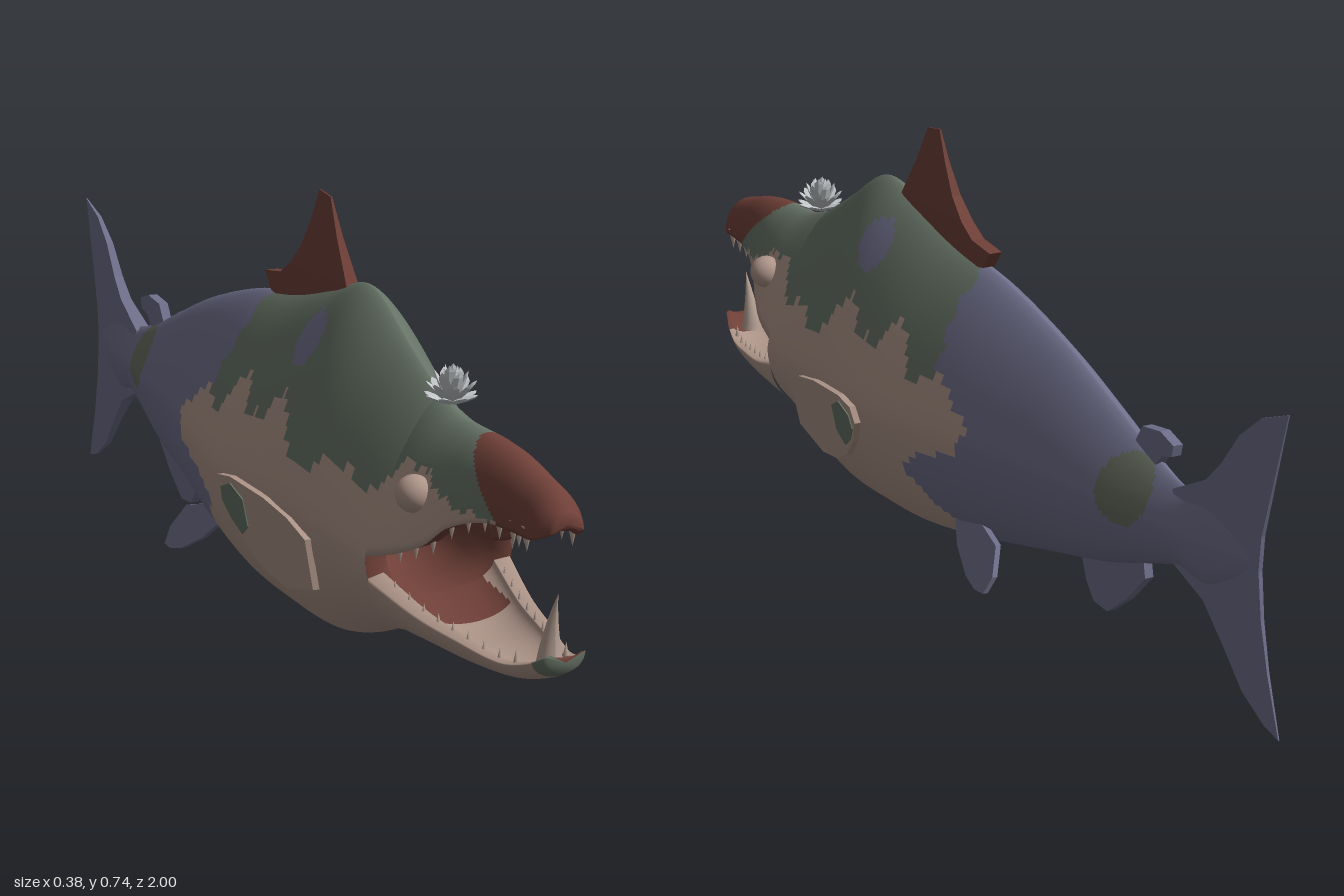
import * as THREE from 'three';

const mat = (name, color, side = THREE.FrontSide) => {
  const m = new THREE.MeshStandardMaterial({ color, side });
  m.name = name;
  return m;
};

// Smooth lookup in a table of rows [z, a, b, ...]; returns [a, b, ...]
function look(table, z) {
  const n = table.length;
  let i = 0;
  while (i < n - 2 && z > table[i + 1][0]) i++;
  const p = table[i], q = table[i + 1], o = table[Math.max(i - 1, 0)], r = table[Math.min(i + 2, n - 1)];
  const h = q[0] - p[0], t = THREE.MathUtils.clamp((z - p[0]) / h, 0, 1), t2 = t * t, t3 = t2 * t;
  return p.slice(1).map((v, k) => {
    const w = q[k + 1], m0 = (w - o[k + 1]) / (q[0] - o[0]), m1 = (r[k + 1] - v) / (r[0] - p[0]);
    return (2 * t3 - 3 * t2 + 1) * v + (t3 - 2 * t2 + t) * h * m0 + (3 * t2 - 2 * t3) * w + (t3 - t2) * h * m1;
  });
}

// Closed-ring skin: f(u, v) gives points, rule(x, y, z, v) picks a material index per cell
function skin(name, nu, nv, f, rule, mats) {
  const pos = [], lists = mats.map(() => []);
  for (let i = 0; i <= nu; i++) for (let j = 0; j < nv; j++) pos.push(...f(i / nu, j / nv));
  for (let i = 0; i < nu; i++) for (let j = 0; j < nv; j++) {
    const a = i * nv + j, b = i * nv + (j + 1) % nv, c = a + nv, d = b + nv;
    const mid = [0, 1, 2].map(k => (pos[a * 3 + k] + pos[d * 3 + k]) / 2);
    lists[rule(...mid, (j + 0.5) / nv)].push(a, c, b, b, c, d);
  }
  const g = new THREE.BufferGeometry();
  g.setAttribute('position', new THREE.Float32BufferAttribute(pos, 3));
  g.setIndex(lists.flat());
  let start = 0;
  lists.forEach((l, k) => { if (l.length) g.addGroup(start, l.length, k); start += l.length; });
  g.computeVertexNormals();
  const mesh = new THREE.Mesh(g, mats);
  mesh.name = name;
  return mesh;
}

// z, top, bottom, height of widest line, half width
const BODY = [
  [-0.92, 0.31, 0.27, 0.29, 0.004], [-0.8, 0.355, 0.205, 0.28, 0.025], [-0.72, 0.345, 0.21, 0.28, 0.035],
  [-0.62, 0.37, 0.18, 0.28, 0.055], [-0.5, 0.415, 0.14, 0.28, 0.08], [-0.34, 0.472, 0.1, 0.28, 0.107],
  [-0.13, 0.525, 0.05, 0.27, 0.145], [0.05, 0.55, 0.015, 0.26, 0.168], [0.2, 0.585, 0.004, 0.26, 0.172],
  [0.3, 0.61, 0.002, 0.26, 0.17], [0.36, 0.598, 0.015, 0.255, 0.165], [0.46, 0.54, 0.05, 0.24, 0.15],
  [0.58, 0.475, 0.075, 0.22, 0.135]];
// z, top, lip, half width, palate rise
const UPPER = [
  [0.58, 0.475, 0.22, 0.135, 0.12], [0.65, 0.455, 0.24, 0.122, 0.1], [0.715, 0.45, 0.268, 0.1, 0.07],
  [0.76, 0.448, 0.305, 0.082, 0.04], [0.84, 0.438, 0.332, 0.06, 0.02], [0.92, 0.418, 0.335, 0.05, 0.015],
  [0.97, 0.402, 0.335, 0.044, 0.01], [1, 0.375, 0.35, 0.025, 0.004]];
// z, lip, bottom, half width, floor depth
const LOWER = [
  [0.58, 0.19, 0.075, 0.13, 0.045], [0.7, 0.155, 0.08, 0.105, 0.04], [0.8, 0.14, 0.082, 0.085, 0.03],
  [0.9, 0.128, 0.092, 0.062, 0.018], [0.96, 0.14, 0.11, 0.047, 0.01], [1, 0.16, 0.13, 0.034, 0.006]];
// Colour borders: height of the green back along z, and start of the blue tail along y
const GREEN = [[-0.2, 0.33], [-0.1, 0.37], [-0.02, 0.34], [0.06, 0.42], [0.11, 0.37], [0.18, 0.37], [0.24, 0.42],
  [0.3, 0.35], [0.36, 0.32], [0.41, 0.34], [0.48, 0.34], [0.54, 0.315], [0.6, 0.375], [0.68, 0.375], [0.75, 0.345], [1, 0.345]];
const BLUE = [[0, -0.17], [0.1, -0.11], [0.16, -0.035], [0.2, -0.04], [0.25, -0.17], [0.3, -0.2], [0.34, -0.14], [0.38, -0.08], [0.6, -0.05]];

const ridge = c => Math.pow(Math.max(0, 1 - Math.pow(c, 1.2)), 0.7);

function bodyPoint(z, v) {
  const [top, bot, mid, w] = look(BODY, z), a = v * Math.PI * 2, c = Math.cos(a), s = Math.sin(a);
  return c > 0 ? [Math.sign(s) * w * ridge(c), mid + (top - mid) * c, z] : [w * s, mid + (mid - bot) * c, z];
}

export function createModel() {
  const fish = new THREE.Group();
  fish.name = 'fish';
  const green = mat('moss green', 0x667265), pink = mat('dusty pink', 0xad9488), blue = mat('slate violet', 0x6f6f8b);
  const red = mat('dark red', 0x6f4038), olive = mat('olive grey', 0x666c5f);
  const tooth = mat('tooth', 0xb39f92), petal = mat('pale grey', 0xc2c6c9, THREE.DoubleSide);
  const mats = [green, pink, blue, red, olive];
  const add = (name, geo, m, parent = fish) => {
    const mesh = new THREE.Mesh(geo, m);
    mesh.name = name;
    parent.add(mesh);
    return mesh;
  };

  const paint = (x, y, z) => {
    const wob = 0.006 * Math.sin(z * 95) + 0.004 * Math.sin(z * 210 + 1);
    if (Math.hypot(z + 0.6, y - 0.31) < 0.06) return 4;
    if (Math.hypot(z - 0.235, y - 0.51) < 0.045) return 2;
    if (z < look(BLUE, y)[0] + 0.01 * Math.sin(y * 120)) return 2;
    if (z > 0.74 + (0.45 - y) * 1.2) return 3;
    return y > look(GREEN, z)[0] + wob ? 0 : 1;
  };

  // Trunk and the hollow of the mouth
  fish.add(skin('body', 190, 96, (u, v) => bodyPoint(-0.92 + 1.5 * u, v), paint, mats));
  const CUP = [[1, 1, 0.58], [0.72, 0.56, 0.58], [0.68, 0.52, 0.5], [0.5, 0.4, 0.42], [0, 0, 0.39]];
  fish.add(skin('mouthCavity', 4, 48, (u, v) => {
    const [sx, sy, z] = CUP[Math.round(u * 4)], [x, y] = bodyPoint(0.58, v);
    return [x * sx, 0.22 + (y - 0.22) * sy, z];
  }, (x, y, z) => 3, mats));

  // Upper head with snout, and lower jaw; each ring runs over the outside then back inside
  fish.add(skin('upperHead', 60, 96, (u, v) => {
    const z = 0.58 + 0.42 * Math.min(1, u * 60 / 59), [top, lip, w, rise] = look(UPPER, z);
    if (u === 1) return [0, (top + lip) / 2, z];
    const outer = v < 0.5, a = outer ? (v * 2 - 0.5) * Math.PI : (1.5 - v * 2) * Math.PI;
    const c = Math.max(0, Math.cos(a)), s = Math.sin(a);
    if (!outer) return [w * 0.72 * s, lip + rise * c, z];
    const k = Math.min(1, (z - 0.58) / 0.25);
    return [w * THREE.MathUtils.lerp(Math.sign(s) * ridge(c), s, k), lip + (top - lip) * c, z];
  }, (x, y, z, v) => v > 0.5 ? 3 : paint(x, y, z), mats));
  fish.add(skin('lowerJaw', 60, 96, (u, v) => {
    const z = 0.58 + 0.42 * Math.min(1, u * 60 / 59), [lip, bot, w, depth] = look(LOWER, z);
    if (u === 1) return [0, (lip + bot) / 2, z];
    const outer = v < 0.5, a = outer ? (0.5 - v * 2) * Math.PI : (v * 2 - 1.5) * Math.PI;
    const c = Math.max(0, Math.cos(a)), s = Math.sin(a);
    return outer ? [w * s, lip - (lip - bot) * c, z] : [w * 0.78 * s, lip - depth * c, z];
  }, (x, y, z, v) => {
    if (v > 0.5) return z > 0.95 || (z < 0.68 && Math.abs(x) < 0.08) ? 3 : 1;
    return z > 0.975 ? 0 : 1;
  }, mats));

  // Fins: outline in (z, y), given thickness, then shifted or thinned by a warp
  const fin = (name, pts, thick, m, warp) => {
    const sh = new THREE.Shape(pts.map(p => new THREE.Vector2(...p)));
    const g = new THREE.ExtrudeGeometry(sh, { depth: thick, bevelEnabled: false });
    g.translate(0, 0, -thick / 2).rotateY(-Math.PI / 2);
    const p = g.attributes.position;
    for (let i = 0; i < p.count; i++) p.setX(i, warp(p.getX(i), p.getY(i), p.getZ(i)));
    g.computeVertexNormals();
    return add(name, g, m);
  };
  const { clamp } = THREE.MathUtils;
  fin('tailFin', [[-0.7, 0.34], [-0.79, 0.385], [-0.83, 0.425], [-0.875, 0.485], [-0.93, 0.53], [-1, 0.557], [-0.965, 0.43],
    [-0.94, 0.34], [-0.935, 0.28], [-0.945, 0.2], [-0.965, 0.12], [-1, 0.02], [-0.96, 0.03], [-0.9, 0.065], [-0.85, 0.12],
    [-0.79, 0.18], [-0.7, 0.215]], 0.03, blue, (x, y, z) => x * clamp((z + 1.01) / 0.3, 0.08, 1));
  fin('dorsalFin', [[0.25, 0.595], [0.2, 0.67], [0.165, 0.735], [0.12, 0.742], [0.095, 0.69], [0.06, 0.635], [0.02, 0.598],
    [-0.02, 0.575], [-0.085, 0.567], [-0.06, 0.535], [0.03, 0.52], [0.2, 0.57]], 0.024, red,
    (x, y) => x * clamp((0.75 - y) / 0.16, 0.12, 1));
  fin('adiposeFin', [[-0.57, 0.375], [-0.595, 0.412], [-0.65, 0.42], [-0.69, 0.408], [-0.685, 0.388], [-0.655, 0.38],
    [-0.63, 0.35], [-0.58, 0.35]], 0.018, blue, x => x);
  fin('analFin', [[-0.4, 0.13], [-0.42, 0.08], [-0.445, 0.05], [-0.49, 0.047], [-0.55, 0.09], [-0.61, 0.15], [-0.6, 0.2], [-0.5, 0.18]],
    0.016, blue, x => x);
  for (const s of [1, -1]) {
    const side = s > 0 ? 'left' : 'right';
    fin(side + 'PelvicFin', [[-0.1, 0.11], [-0.15, 0.065], [-0.21, 0.033], [-0.25, 0.023], [-0.28, 0.025], [-0.287, 0.055], [-0.26, 0.1], [-0.18, 0.12]],
      0.01, blue, (x, y) => x + s * (0.09 + (0.1 - y) * 0.48));
    const lean = (x, y, z) => x + s * (0.138 + 0.2 * (y - 0.1) + 0.055 * (0.41 - z));
    fin(side + 'PectoralFin', [[0.41, 0.12], [0.415, 0.21], [0.36, 0.235], [0.28, 0.252], [0.16, 0.262], [0.11, 0.255],
      [0.1, 0.225], [0.13, 0.18], [0.18, 0.135], [0.24, 0.108], [0.31, 0.097]], 0.012, pink, lean);
    fin(side + 'PectoralSpot', [[0.2, 0.23], [0.16, 0.25], [0.12, 0.235], [0.115, 0.21], [0.14, 0.18], [0.17, 0.16], [0.2, 0.18]],
      0.017, green, lean);

    // Eye
    add(side + 'Eye', new THREE.SphereGeometry(0.031, 24, 16).translate(s * 0.093, 0.342, 0.67), pink);

    // Rows of small teeth on both jaws
    for (let i = 0; i < 9; i++) {
      const z = 0.64 + i * 0.038;
      const [, lip, w] = look(UPPER, z), [low, , lw] = look(LOWER, z);
      const big = i > 5 ? 1.6 : 1;
      const up = add(side + 'UpperTooth', new THREE.ConeGeometry(0.006 * big, 0.026 * big, 6), tooth);
      up.position.set(s * w * 0.82, lip - 0.004, z);
      up.rotation.x = Math.PI;
      add(side + 'LowerTooth', new THREE.ConeGeometry(0.005, 0.022, 6), tooth).position.set(s * lw * 0.85, low + 0.005, z - 0.02);
    }
  }

  // Curved fang at the tip of the lower jaw
  const fang = new THREE.ConeGeometry(0.021, 0.115, 12, 8).translate(0, 0.0575, 0);
  const fp = fang.attributes.position;
  for (let i = 0; i < fp.count; i++) fp.setZ(i, fp.getZ(i) + 1.8 * fp.getY(i) ** 2);
  fang.computeVertexNormals();
  add('lowerFang', fang, tooth).position.set(0, 0.132, 0.95);

  // Flower on the forehead: rings of pointed petals
  const flower = new THREE.Group();
  flower.name = 'flower';
  flower.position.set(0, 0.462, 0.615);
  fish.add(flower);
  [[8, 1.2, 0.046], [8, 0.8, 0.054], [6, 0.42, 0.06], [4, 0.12, 0.064]].forEach(([n, tilt, len], ring) => {
    for (let i = 0; i < n; i++) {
      const g = new THREE.SphereGeometry(1, 4, 4).toNonIndexed();
      g.scale(0.012, len / 2, 0.004).translate(0, len / 2, 0).rotateX(tilt).translate(0, 0.006, 0.003);
      g.rotateY((i + ring * 0.5) / n * Math.PI * 2);
      g.computeVertexNormals();
      add('petal', g, petal, flower);
    }
  });
  return fish;
}
